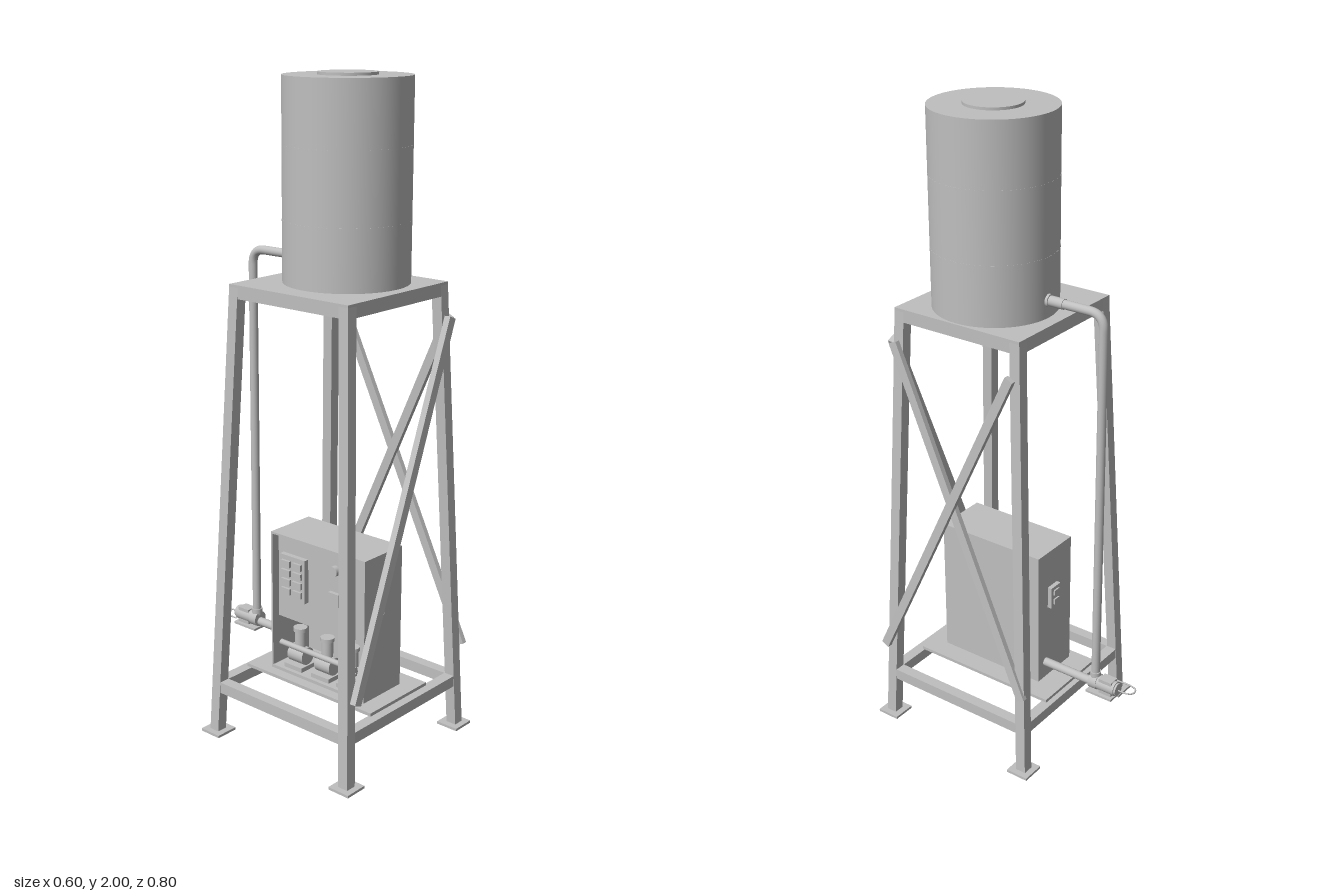
import * as THREE from 'three';

export function createModel() {
  const root = new THREE.Group();
  const steel = new THREE.MeshStandardMaterial({ color: 0xbfbfbf, side: THREE.DoubleSide });
  steel.name = 'lightGreySteel';
  const CZ = 0.102; // tower centre in z
  const V = (x, y, z) => new THREE.Vector3(x, y, z);

  const add = (name, geo, x = 0, y = 0, z = 0) => {
    const m = new THREE.Mesh(geo, steel);
    m.name = name;
    m.position.set(x, y, z);
    root.add(m);
    return m;
  };
  // box from min and max corners
  const box = (name, x0, x1, y0, y1, z0, z1) =>
    add(name, new THREE.BoxGeometry(x1 - x0, y1 - y0, z1 - z0), (x0 + x1) / 2, (y0 + y1) / 2, (z0 + z1) / 2);
  // cylinder centred at a point along an axis
  const cyl = (name, r, len, x, y, z, axis = 'y', seg = 32) => {
    const g = new THREE.CylinderGeometry(r, r, len, seg);
    if (axis === 'z') g.rotateX(Math.PI / 2);
    if (axis === 'x') g.rotateZ(Math.PI / 2);
    return add(name, g, x, y, z);
  };
  // flat bar between two points, lying against a face with the given normal
  const bar = (name, a, b, normal, w, t) => {
    const m = add(name, new THREE.BoxGeometry(w, t, a.distanceTo(b)));
    m.position.copy(a).add(b).multiplyScalar(0.5);
    m.up.copy(normal);
    m.lookAt(b);
  };

  // leaning legs with foot plates
  for (const sx of [-1, 1]) for (const sz of [-1, 1]) {
    const g = new THREE.BoxGeometry(0.034, 1.4, 0.034);
    const p = g.attributes.position;
    for (let i = 0; i < p.count; i++) {
      const y = p.getY(i) + 0.7;
      const c = 0.262 - (0.057 * y) / 1.4;
      p.setXYZ(i, p.getX(i) + sx * c, y, p.getZ(i) + sz * c);
    }
    g.computeVertexNormals();
    add('leg', g, 0, 0.004, CZ);
    box('footPlate', sx * 0.261 - 0.037, sx * 0.261 + 0.037, 0, 0.008, CZ + sz * 0.261 - 0.037, CZ + sz * 0.261 + 0.037);
  }

  // top and bottom frames
  const frame = (name, half, w, y0, y1) => {
    for (const s of [-1, 1]) {
      const c = s * (half - w / 2);
      box(name, c - w / 2, c + w / 2, y0, y1, CZ - half, CZ + half);
      box(name, -half + w, half - w, y0, y1, CZ + c - w / 2, CZ + c + w / 2);
    }
  };
  frame('topFrame', 0.222, 0.034, 1.372, 1.405);
  frame('lowerFrame', 0.272, 0.035, 0.14, 0.175);
  box('platform', -0.222, 0.222, 1.405, 1.412, CZ - 0.222, CZ + 0.222);
  box('basePlate', -0.135, 0.132, 0.175, 0.185, -0.152, 0.347);

  // diagonal braces
  const fn = V(0, 0.04, 1), rn = V(1, 0.04, 0);
  bar('frontBrace', V(-0.25, 0.27, 0.385), V(0.215, 1.31, 0.34), fn, 0.028, 0.02);
  bar('sideBraceOuter', V(0.279, 0.27, 0.37), V(0.252, 1.31, -0.11), rn, 0.028, 0.016);
  bar('sideBraceInner', V(0.269, 0.27, -0.158), V(0.236, 1.31, 0.32), rn, 0.028, 0.016);

  // tank with lid and seams
  cyl('tank', 0.185, 0.58, 0.03, 1.702, 0.105, 'y', 64);
  cyl('tankLid', 0.086, 0.01, 0.03, 1.995, 0.105, 'y', 48);
  for (const y of [1.59, 1.8]) cyl('tankSeam', 0.1855, 0.005, 0.03, y, 0.105, 'y', 64);

  // supply pipe from tank down to pump
  const pipe = new THREE.CurvePath();
  const pts = [V(0.03, 1.465, -0.07), V(0.03, 1.465, -0.22), V(0.03, 1.418, -0.267), V(0.03, 0.26, -0.267)];
  pipe.add(new THREE.LineCurve3(pts[0], pts[1]));
  pipe.add(new THREE.QuadraticBezierCurve3(pts[1], V(0.03, 1.465, -0.267), pts[2]));
  pipe.add(new THREE.LineCurve3(pts[2], pts[3]));
  add('supplyPipe', new THREE.TubeGeometry(pipe, 160, 0.0135, 16));
  cyl('tankFlange', 0.019, 0.008, 0.03, 1.465, -0.084, 'z');
  cyl('pipeCollar', 0.0155, 0.05, 0.03, 1.465, -0.11, 'z');

  // pump behind the cabinet
  cyl('pumpOutlet', 0.0135, 0.18, 0.03, 0.242, -0.165, 'z');
  cyl('pumpHead', 0.025, 0.028, 0.03, 0.25, -0.267, 'z');
  cyl('pumpRiser', 0.017, 0.02, 0.03, 0.275, -0.267);
  cyl('pumpMotor', 0.023, 0.065, 0.03, 0.25, -0.312, 'z');
  cyl('motorCap', 0.02, 0.006, 0.03, 0.25, -0.348, 'z');
  box('pumpBase', 0, 0.06, 0.218, 0.225, -0.343, -0.25);
  box('pumpTerminal', 0.012, 0.048, 0.225, 0.275, -0.335, -0.29);
  const cable = new THREE.CatmullRomCurve3([V(0.03, 0.247, -0.345), V(0.03, 0.247, -0.375), V(0.022, 0.247, -0.393),
    V(0.009, 0.247, -0.397), V(-0.006, 0.247, -0.39), V(-0.012, 0.247, -0.37), V(-0.012, 0.247, -0.32)]);
  add('pumpCable', new THREE.TubeGeometry(cable, 40, 0.0025, 8));

  // cabinet shell, open on its -x side
  const [x0, x1, y0, y1, z0, z1, t] = [-0.103, 0.069, 0.186, 0.637, -0.077, 0.294, 0.006];
  box('cabinetSide', x1 - t, x1, y0, y1, z0, z1);
  box('cabinetFront', x0, x1 - t, y0, y1, z1 - t, z1);
  box('cabinetBack', x0, x1 - t, y0, y1, z0, z0 + t);
  box('cabinetTop', x0, x1 - t, y1 - t, y1, z0 + t, z1 - t);
  box('cabinetFloor', x0, x1 - t, y0, y0 + 0.01, z0 + t, z1 - t);
  box('cabinetPanel', -0.075, -0.069, 0.36, y1 - t, z0 + t, z1 - t);
  box('cabinetShelf', -0.075, x1 - t, 0.354, 0.36, z0 + t, z1 - t);

  // controls inside the cabinet
  box('controlBox', -0.092, -0.075, 0.43, 0.57, -0.05, 0.05);
  for (let i = 0; i < 4; i++) for (let j = 0; j < 2; j++)
    box('breaker', -0.1, -0.092, 0.445 + i * 0.03, 0.465 + i * 0.03, -0.04 + j * 0.045, -0.005 + j * 0.045);
  cyl('gauge', 0.016, 0.016, -0.083, 0.565, 0.16, 'x');
  box('meter', -0.088, -0.075, 0.455, 0.495, 0.14, 0.18);

  // dosing equipment on the cabinet floor
  for (const z of [0, 0.11, 0.21]) {
    box('doserBase', -0.09, -0.02, 0.196, 0.21, z - 0.035, z + 0.035);
    cyl('doserMotor', 0.028, 0.06, -0.055, 0.238, z, 'z', 20);
    cyl('doserHead', 0.018, 0.06, -0.055, 0.29, z, 'y', 20);
    cyl('doserCap', 0.022, 0.012, -0.055, 0.322, z, 'y', 20);
  }
  cyl('manifold', 0.009, 0.3, -0.088, 0.275, 0.1, 'z', 12);
  cyl('drainPipe', 0.01, 0.06, -0.097, 0.237, 0.24, 'x', 16);
  cyl('drainFlange', 0.016, 0.008, -0.123, 0.237, 0.24, 'x', 20);

  // handle and lock on the front, switch box on the back
  box('frontHandle', -0.028, -0.004, 0.503, 0.537, z1, z1 + 0.01);
  box('handleGrip', -0.021, -0.011, 0.508, 0.532, z1 + 0.01, z1 + 0.015);
  cyl('frontLock', 0.008, 0.006, -0.016, 0.442, z1 + 0.003, 'z', 16);
  box('switchBox', -0.028, 0.02, 0.44, 0.512, z0 - 0.014, z0);
  for (const y of [0.46, 0.492]) box('switch', -0.016, 0.008, y - 0.009, y + 0.009, z0 - 0.019, z0 - 0.014);

  return root;
}
